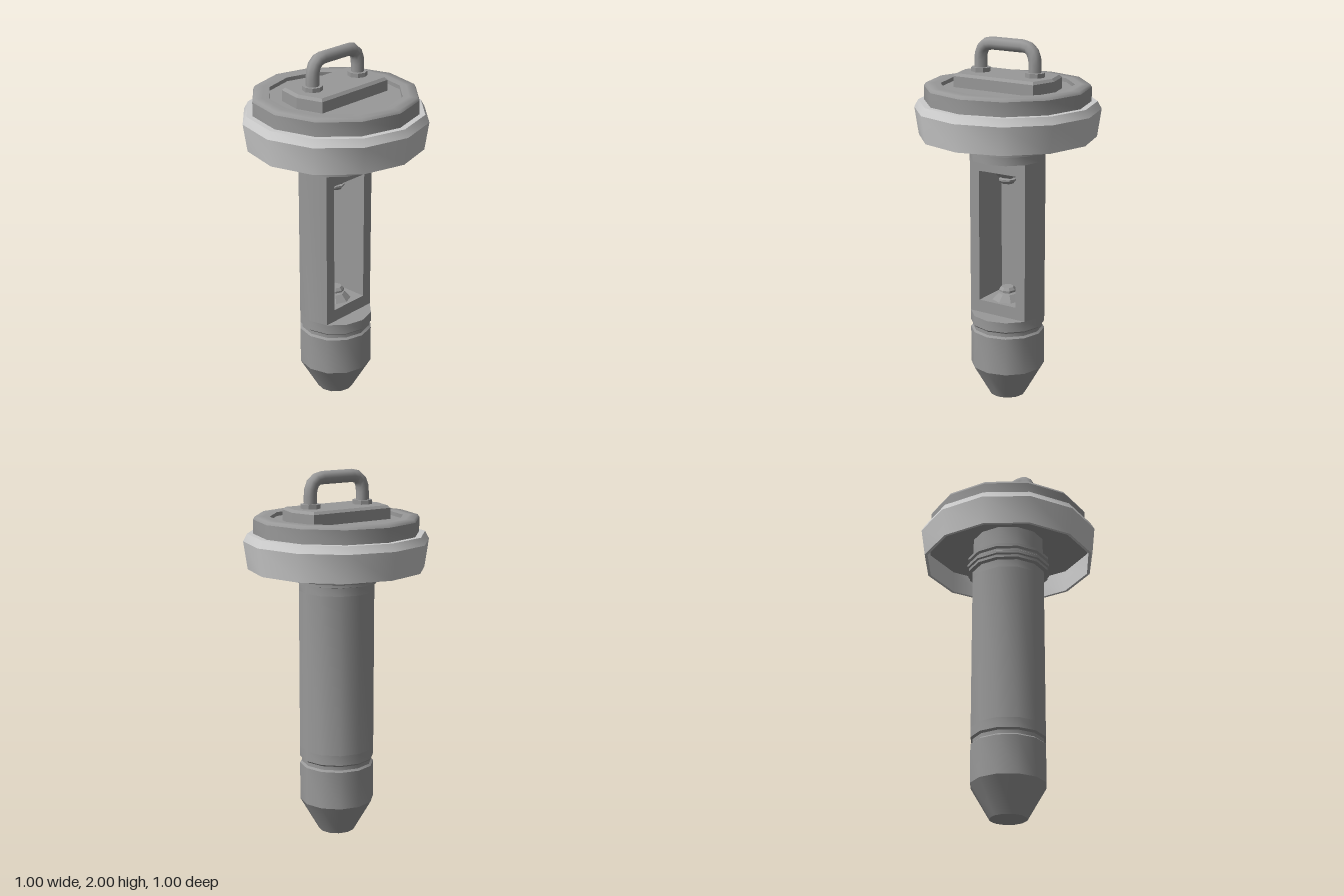
import * as THREE from 'three';
import { toCreasedNormals } from 'three/addons/utils/BufferGeometryUtils.js';

const darkGrey = new THREE.MeshStandardMaterial({ color: 0x999999 });
const lightGrey = new THREE.MeshStandardMaterial({ color: 0xcccccc });
const CREASE = 0.56;

export function createModel() {
  const model = new THREE.Group();

  function add(name, geometry, crease = CREASE, material = darkGrey) {
    const mesh = new THREE.Mesh(toCreasedNormals(geometry, crease), material);
    mesh.name = name;
    model.add(mesh);
    return mesh;
  }
  // Profile of [radius, y] pairs, spun round the y axis
  function turned(name, profile, { sides = 12, crease, material } = {}) {
    const points = profile.map(([r, y]) => new THREE.Vector2(r, y));
    return add(name, new THREE.LatheGeometry(points, sides), crease, material);
  }
  // Outline of [x, z] pairs, raised from y0 to y1
  function slab(name, outline, y0, y1) {
    const shape = new THREE.Shape(outline.map(([x, z]) => new THREE.Vector2(x, -z)));
    const geometry = new THREE.ExtrudeGeometry(shape, { depth: y1 - y0, bevelEnabled: false });
    geometry.rotateX(-Math.PI / 2).translate(0, y0, 0);
    return add(name, geometry);
  }

  // Tapered foot and lower barrel with a groove
  const R = 0.204;
  turned('tip', [[0, 0], [0.1, 0], [R, 0.18]]);
  turned('lowerBarrel', [
    [R, 0.18], [R, 0.39], [0.193, 0.4], [0.193, 0.42], [R, 0.43], [R, 0.485], [0, 0.485],
  ]);

  // Middle barrel: flat-fronted section with a deep window
  const backArc = [];
  for (let i = 0; i <= 8; i++) {
    const a = Math.PI / 6 - (i * Math.PI) / 6;
    backArc.push([R * Math.cos(a), R * Math.sin(a)]);
  }
  const front = R / 2;
  const pocket = [[-0.118, front], [-0.118, -0.12], [0.118, -0.12], [0.118, front]];
  slab('windowWalls', [...backArc, ...pocket], 0.485, 1.36);
  slab('windowSill', pocket, 0.485, 0.555);
  slab('windowLintel', pocket, 1.29, 1.36);

  // Upper barrel with collar rings, running up into the lid
  turned('collar', [
    [0, 1.36], [R, 1.36], [R, 1.405], [0.225, 1.41], [0.225, 1.425], [0.235, 1.43],
    [0.235, 1.445], [0.22, 1.455], [0.22, 1.465], [0.23, 1.475], [0.23, 1.49], [0.2, 1.5], [0.2, 1.61],
  ]);

  // Facing contacts inside the window
  const contact = [
    [0.085, 0], [0.05, 0.035], [0.03, 0.038], [0.03, 0.045], [0.048, 0.047],
    [0.048, 0.057], [0.035, 0.072], [0, 0.072],
  ];
  turned('lowerContact', contact, { sides: 8 }).position.y = 0.555;
  const upperContact = turned('upperContact', contact, { sides: 8 });
  upperContact.rotation.x = Math.PI;
  upperContact.position.y = 1.29;

  // Light skirt ring round the hollow underside of the lid
  turned('lidSkirt', [
    [0.465, 1.61], [0.46, 1.48], [0.476, 1.48], [0.498, 1.63], [0.476, 1.67], [0.43, 1.67],
  ], { material: lightGrey });
  turned('lidUnderside', [[0, 1.61], [0.465, 1.61]]);

  // Raised disc: side wall, softly rounded rim, shallow recessed top
  turned('lidDiscSide', [[0.444, 1.67], [0.444, 1.745]]);
  turned('lidDiscRim', [[0.444, 1.745], [0.435, 1.76], [0.39, 1.76], [0.355, 1.758]], { crease: 1.1 });
  turned('lidDiscTop', [[0.355, 1.758], [0.355, 1.737], [0, 1.737]]);

  // Chamfered hexagonal plate under the handle
  const hexagon = new THREE.Shape([
    [-0.272, 0], [-0.238, -0.129], [0.238, -0.129], [0.272, 0], [0.238, 0.129], [-0.238, 0.129],
  ].map(([x, y]) => new THREE.Vector2(x, y)));
  const plate = new THREE.ExtrudeGeometry(hexagon, {
    depth: 0.066, bevelSize: 0.014, bevelThickness: 0.014, bevelSegments: 1,
  });
  plate.rotateX(-Math.PI / 2).translate(0, 1.73, 0);
  add('handlePlate', plate, 0.3);

  // Handle feet
  for (const side of [-1, 1]) {
    const foot = turned(side > 0 ? 'leftHandleFoot' : 'rightHandleFoot',
      [[0.053, 1.8], [0.053, 1.833], [0, 1.833]], { sides: 8 });
    foot.position.x = side * 0.17;
  }

  // Bent carrying handle
  const path = new THREE.CurvePath();
  const v = (x, y) => new THREE.Vector3(x, y, 0);
  path.add(new THREE.LineCurve3(v(-0.17, 1.81), v(-0.17, 1.885)));
  path.add(new THREE.QuadraticBezierCurve3(v(-0.17, 1.885), v(-0.165, 1.965), v(-0.095, 1.965)));
  path.add(new THREE.LineCurve3(v(-0.095, 1.965), v(0.095, 1.965)));
  path.add(new THREE.QuadraticBezierCurve3(v(0.095, 1.965), v(0.165, 1.965), v(0.17, 1.885)));
  path.add(new THREE.LineCurve3(v(0.17, 1.885), v(0.17, 1.81)));
  add('handle', new THREE.TubeGeometry(path, 18, 0.035, 8), 0.9);

  return model;
}
